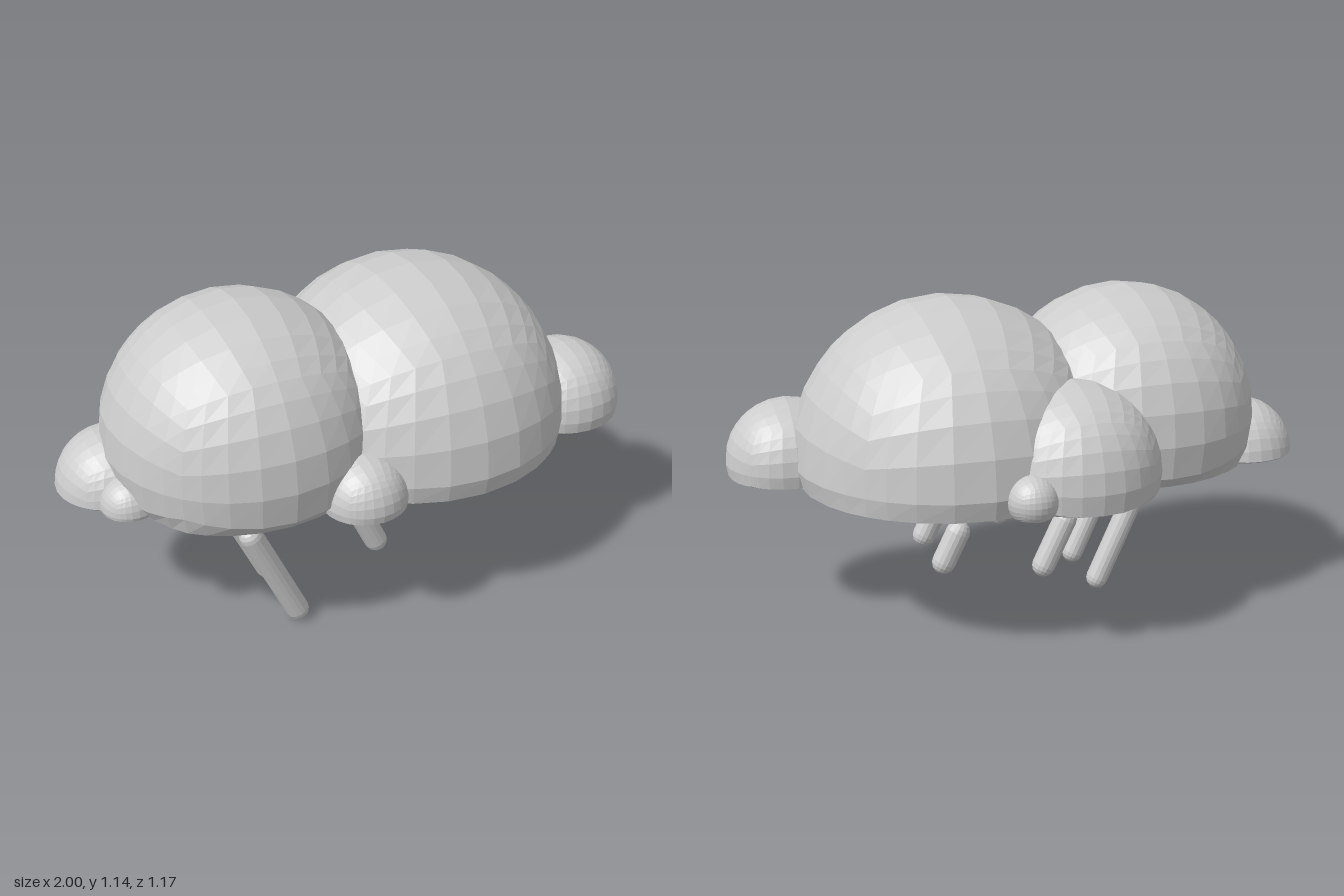
import * as THREE from 'three';

const material = new THREE.MeshStandardMaterial({ color: 0xcccccc, flatShading: true });
const RIM = 0.53, FLOOR = 0.516;

// Quad sphere, flattened to a bevelled, level underside
function puff(name, x, y, z, r) {
  const geometry = new THREE.BoxGeometry(2, 2, 2, 8, 8, 8);
  const position = geometry.attributes.position;
  const centre = new THREE.Vector3(x, y, z);
  const v = new THREE.Vector3();
  for (let i = 0; i < position.count; i++) {
    v.fromBufferAttribute(position, i).setLength(r).add(centre);
    if (v.y < RIM) v.y = Math.max(FLOOR, RIM - 0.1 * (RIM - v.y));
    position.setXYZ(i, v.x, v.y, v.z);
  }
  geometry.computeVertexNormals();
  const mesh = new THREE.Mesh(geometry, material);
  mesh.name = name;
  return mesh;
}

// Slanted capsule between the centres of its two round ends
function raindrop(x0, y0, x1, y1, z) {
  const top = new THREE.Vector3(x0, y0, z);
  const axis = top.clone().sub(new THREE.Vector3(x1, y1, z));
  const mesh = new THREE.Mesh(new THREE.CapsuleGeometry(0.04, axis.length(), 4, 16), material);
  mesh.position.copy(top).addScaledVector(axis, -0.5);
  mesh.quaternion.setFromUnitVectors(new THREE.Vector3(0, 1, 0), axis.normalize());
  mesh.name = 'raindrop';
  return mesh;
}

export function createModel() {
  const model = new THREE.Group();
  model.name = 'rainCloud';

  // Cloud body
  const cloud = new THREE.Group();
  cloud.name = 'cloud';
  cloud.add(
    puff('largeLeftPuff', 0.25, 0.59, 0.035, 0.545),
    puff('largeRightPuff', -0.39, 0.675, 0.035, 0.465),
    puff('backPuff', -0.08, 0.6, -0.29, 0.3),
    puff('leftEndPuff', 0.785, 0.57, 0.19, 0.215),
    puff('rightEndPuff', -0.805, 0.52, -0.065, 0.195),
    puff('frontPuff', -0.125, 0.555, 0.425, 0.147),
    puff('smallRightPuff', -0.81, 0.54, 0.115, 0.098),
    puff('smallBackPuff', 0.13, 0.58, -0.505, 0.083),
  );

  // Rain: long, medium and short drops, two of each
  const rain = new THREE.Group();
  rain.name = 'rain';
  const tracks = [
    { from: [-0.463, 0.397], to: [-0.302, 0.042], rows: [0.28, 0.02] },
    { from: [-0.077, 0.397], to: [0, 0.237], rows: [0.28, -0.24] },
    { from: [0.302, 0.397], to: [0.353, 0.295], rows: [0.02, -0.24] },
  ];
  for (const { from, to, rows } of tracks)
    for (const z of rows) rain.add(raindrop(...from, ...to, z));

  model.add(cloud, rain);
  return model;
}
